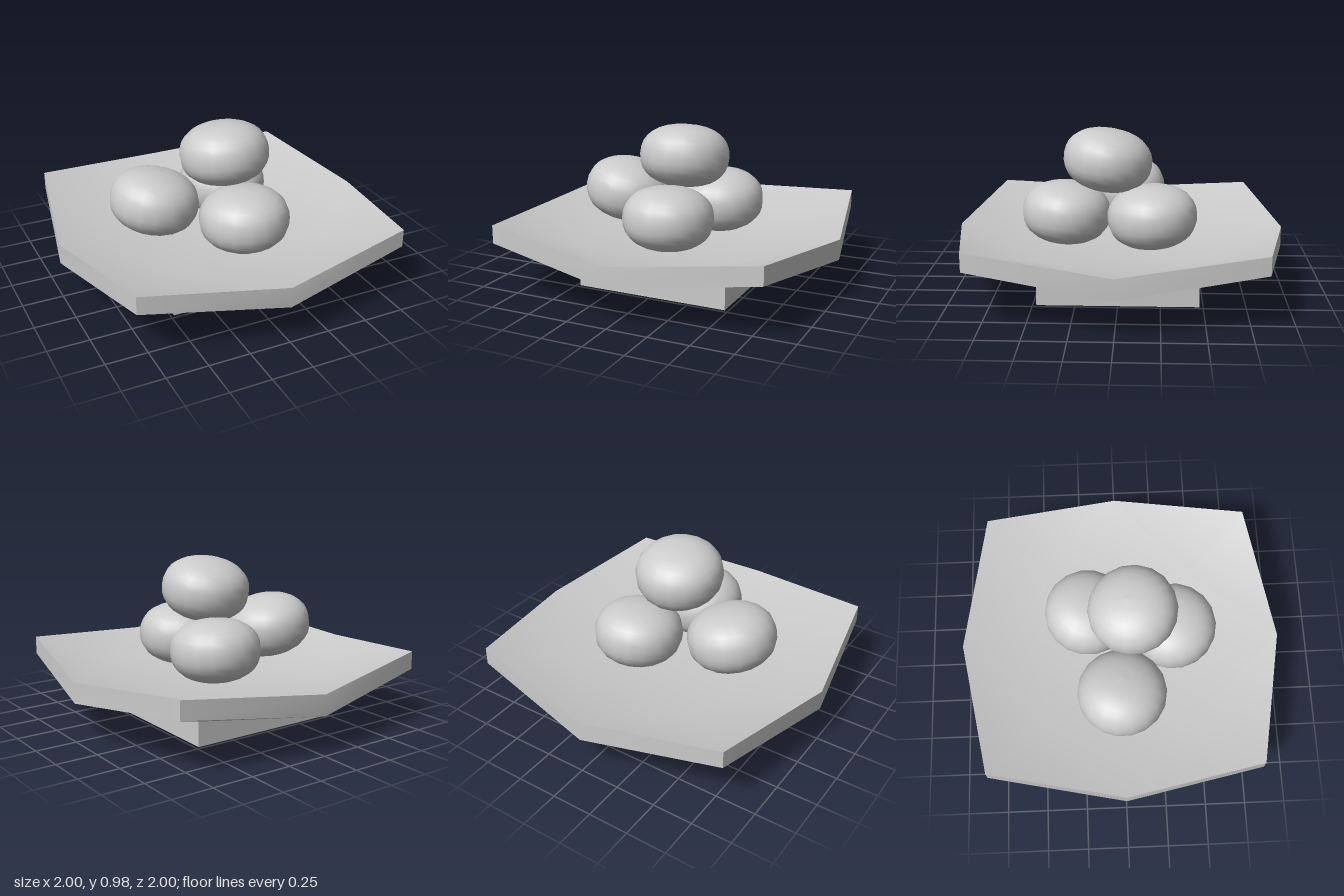
import * as THREE from 'three';
import { toCreasedNormals } from 'three/addons/utils/BufferGeometryUtils.js';

const material = new THREE.MeshStandardMaterial({ color: 0xcccccc });

function addMesh(parent, name, geometry) {
  const mesh = new THREE.Mesh(geometry, material);
  mesh.name = name;
  parent.add(mesh);
  return mesh;
}

// Eight-sided dish: flat square centre, raised corners, lower edge middles
function dishGeometry() {
  const top = { corner: 0.435, middle: 0.355, inner: 0.27 };
  const bottom = { corner: 0.325, middle: 0.23, inner: 0.15 };
  const pos = [];
  const spin = (x, y, z, k) => new THREE.Vector3(x, y, z).applyAxisAngle(new THREE.Vector3(0, 1, 0), k * Math.PI / 2);
  const tri = (a, b, c) => [a, b, c].forEach((p) => pos.push(p.x, p.y, p.z));
  // Points of one quarter, on the upper or lower skin
  const quarter = (level, k) => ({
    c0: spin(-0.84, level.corner, 0.84, k),
    m: spin(0, level.middle, 1, k),
    c1: spin(0.84, level.corner, 0.84, k),
    i0: spin(-0.475, level.inner, 0.475, k),
    i1: spin(0.475, level.inner, 0.475, k),
    o: new THREE.Vector3(0, level.inner, 0),
  });
  for (let k = 0; k < 4; k++) {
    const t = quarter(top, k);
    const b = quarter(bottom, k);
    for (const [q, up] of [[t, true], [b, false]]) {
      const faces = [[q.i0, q.c0, q.m], [q.i0, q.m, q.i1], [q.i1, q.m, q.c1], [q.o, q.i0, q.i1]];
      faces.forEach(([a, d, e]) => (up ? tri(a, d, e) : tri(a, e, d)));
    }
    // Rim
    for (const [s, e] of [['c0', 'm'], ['m', 'c1']]) {
      tri(b[s], b[e], t[e]);
      tri(b[s], t[e], t[s]);
    }
  }
  const g = new THREE.BufferGeometry();
  g.setAttribute('position', new THREE.Float32BufferAttribute(pos, 3));
  return toCreasedNormals(g, 0.5);
}

// Square foot ring with a shallow recess
function footGeometry() {
  const square = (path, r) => {
    path.moveTo(-r, -r);
    path.lineTo(r, -r);
    path.lineTo(r, r);
    path.lineTo(-r, r);
    path.closePath();
    return path;
  };
  const shape = square(new THREE.Shape(), 0.478);
  shape.holes.push(square(new THREE.Path(), 0.42));
  return new THREE.ExtrudeGeometry(shape, { depth: 0.152, bevelEnabled: false }).rotateX(-Math.PI / 2);
}

// Flattened, slightly boxy round fruit
function fruitGeometry() {
  const points = [];
  const power = 2 / 2.3;
  const steps = 16;
  for (let i = 0; i <= steps; i++) {
    const a = -Math.PI / 2 + (Math.PI * i) / steps;
    const r = i % steps === 0 ? 0 : 0.272 * Math.pow(Math.cos(a), power);
    points.push(new THREE.Vector2(r, 0.19 * Math.sign(Math.sin(a)) * Math.pow(Math.abs(Math.sin(a)), power)));
  }
  return new THREE.LatheGeometry(points, 18);
}

export function createModel() {
  const model = new THREE.Group();
  model.name = 'fruitDish';

  addMesh(model, 'dish', dishGeometry());
  addMesh(model, 'foot', footGeometry());
  addMesh(model, 'footRecess', new THREE.BoxGeometry(0.84, 0.085, 0.84)).position.y = 0.1085;

  // Fruit pile: name, position, tilt about x and z
  const fruit = fruitGeometry();
  const pile = [
    ['frontFruit', [0.05, 0.455, 0.33], -0.07, 0],
    ['backFruit', [0.16, 0.46, -0.198], 0.07, 0],
    ['sideFruit', [-0.39, 0.515, -0.005], 0, -0.2],
    ['topFruit', [0.04, 0.782, 0.075], -0.17, 0.02],
  ];
  for (const [name, position, tiltX, tiltZ] of pile) {
    const mesh = addMesh(model, name, fruit);
    mesh.position.set(...position);
    mesh.rotation.set(tiltX, 0, tiltZ);
  }
  return model;
}
